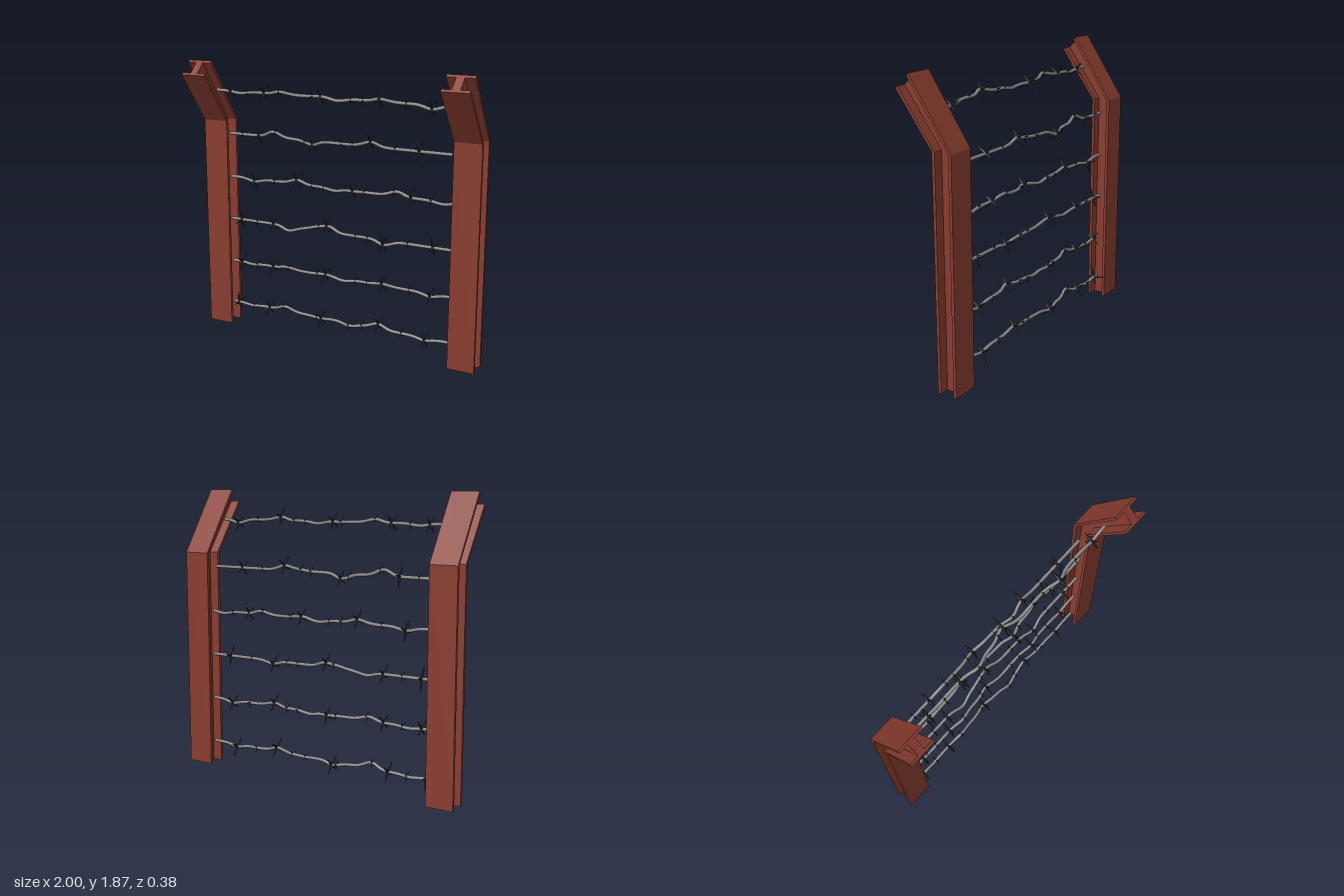
import * as THREE from 'three';
import { mergeGeometries } from 'three/addons/utils/BufferGeometryUtils.js';

const rust = new THREE.MeshStandardMaterial({ color: 0x8a3d30, flatShading: true });
const steel = new THREE.MeshStandardMaterial({ color: 0x8c8c8c });
const dark = new THREE.MeshStandardMaterial({ color: 0x2a2a2a, flatShading: true });

// Small seeded generator for the twist of the barbs
let seed = 7;
const rand = () => (seed = (seed * 16807) % 2147483647) / 2147483647;

// I-beam post: an I profile swept up, then leaning forward above the bend
function postGeometry() {
  const w = 0.09, web = 0.026, f = 0.15; // half widths, flange share of the depth
  const outline = [
    [-w, 0], [w, 0], [w, f], [web, f], [web, 1 - f], [w, 1 - f],
    [w, 1], [-w, 1], [-w, 1 - f], [-web, 1 - f], [-web, f], [-w, f],
  ].map(([x, y]) => new THREE.Vector2(x, y));
  const extruded = new THREE.ExtrudeGeometry(new THREE.Shape(outline), { depth: 2, steps: 2, bevelEnabled: false });
  const geo = extruded.index ? extruded.toNonIndexed() : extruded;
  // [front z, front y, back z, back y] at foot, bend and top
  const stations = [[-0.04, 0, -0.17, 0], [-0.04, 1.45, -0.17, 1.45], [0.197, 1.775, 0.105, 1.865]];
  const p = geo.attributes.position;
  for (let i = 0; i < p.count; i++) {
    const [fz, fy, bz, by] = stations[Math.round(p.getZ(i))];
    const t = p.getY(i);
    p.setXYZ(i, p.getX(i), fy + (by - fy) * t, fz + (bz - fz) * t);
  }
  geo.computeVertexNormals();
  return geo;
}

// Star of four spikes round the wire
function barbGeometry(at, size) {
  const turn = 0.25 + rand() * 0.8;
  const spikes = [0, 1.45, 3.1, 4.6].map((angle) => {
    const length = size * (0.88 + rand() * 0.24);
    const spike = new THREE.ConeGeometry(size * 0.17, length, 4);
    spike.translate(0, length / 2 - size * 0.06, 0);
    spike.rotateZ((rand() - 0.5) * 0.12);
    spike.rotateX(turn + angle);
    return spike.translate(at.x, at.y, at.z);
  });
  return mergeGeometries(spikes);
}

// One strand: a straight wire with kinks [x, rise, push], large and small barbs at given x
function strand(name, y, z, end, kinks, large, small) {
  const group = new THREE.Group();
  group.name = name;
  const pointAt = (x) => {
    const p = new THREE.Vector3(x, y, z);
    for (const [kx, rise, push] of kinks) {
      const bump = Math.exp(-(((x - kx) / 0.065) ** 2));
      p.y += rise * bump;
      p.z += push * bump;
    }
    return p;
  };
  const points = [];
  for (let i = 0; i <= 48; i++) points.push(pointAt(-0.83 + ((end + 0.83) * i) / 48));
  const wire = new THREE.Mesh(
    new THREE.TubeGeometry(new THREE.CatmullRomCurve3(points), 96, 0.011, 8), steel);
  wire.name = 'wire';
  const barbs = new THREE.Mesh(mergeGeometries([
    ...large.map((x) => barbGeometry(pointAt(x), 0.08)),
    ...small.map((x) => barbGeometry(pointAt(x), 0.042)),
  ]), dark);
  barbs.name = 'barbs';
  group.add(wire, barbs);
  return group;
}

export function createModel() {
  seed = 7;
  const model = new THREE.Group();
  model.name = 'barbedWireFence';

  const geo = postGeometry();
  for (const side of [-1, 1]) {
    const post = new THREE.Mesh(geo, rust);
    post.name = side > 0 ? 'leftPost' : 'rightPost';
    post.position.x = side * 0.91;
    model.add(post);
  }

  // Strands from the ground up; the highest sits in the leaning part
  model.add(
    strand('strand1', 0.15, -0.1, 0.83,
      [[-0.68, -0.01, 0], [-0.4, 0.035, 0.015], [-0.14, -0.015, -0.02], [0.1, -0.01, 0.02], [0.3, 0.03, -0.01], [0.64, -0.017, 0]],
      [-0.79, -0.53, -0.13, 0.305, 0.64], [-0.66, -0.41, -0.165, 0.1, 0.19, 0.475]),
    strand('strand2', 0.455, -0.1, 0.83,
      [[-0.67, -0.01, 0], [-0.38, 0.02, 0.02], [-0.1, 0, -0.02], [0.05, -0.015, 0], [0.34, 0.018, 0.02], [0.67, -0.02, 0]],
      [-0.755, -0.495, -0.095, 0.34, 0.67], [-0.625, -0.365, -0.155, 0.14, 0.225, 0.525]),
    strand('strand3', 0.76, -0.1, 0.83,
      [[-0.36, -0.025, 0.02], [-0.16, 0.018, -0.01], [-0.07, 0.03, -0.02], [0.35, -0.025, 0.02]],
      [-0.75, -0.49, -0.09, 0.345, 0.68], [-0.62, -0.145, 0.14, 0.225, 0.51]),
    strand('strand4', 1.06, -0.1, 0.83,
      [[-0.64, -0.02, 0], [-0.31, 0.025, -0.01], [-0.02, -0.015, 0], [0.13, 0.005, 0.03], [0.42, 0.025, -0.02], [0.74, -0.015, 0]],
      [-0.64, -0.31, 0.13, 0.525], [-0.475, -0.19, -0.1, 0.2, 0.4, 0.66]),
    strand('strand5', 1.36, -0.1, 0.795,
      [[-0.48, 0.038, 0.01], [-0.2, -0.03, -0.02], [0.13, 0.005, 0.025], [0.24, 0.03, 0]],
      [-0.595, -0.195, 0.24, 0.575], [-0.725, -0.46, -0.25, 0.035, 0.125, 0.41]),
    strand('strand6', 1.67, 0.04, 0.83,
      [[-0.65, -0.012, 0], [-0.33, 0.02, 0.03], [-0.07, 0, -0.032], [0.08, -0.015, 0], [0.38, 0.02, 0.03], [0.71, -0.024, 0]],
      [-0.72, -0.46, -0.06, 0.38, 0.71], [-0.59, -0.33, -0.115, 0.17, 0.255, 0.545]),
  );
  return model;
}
